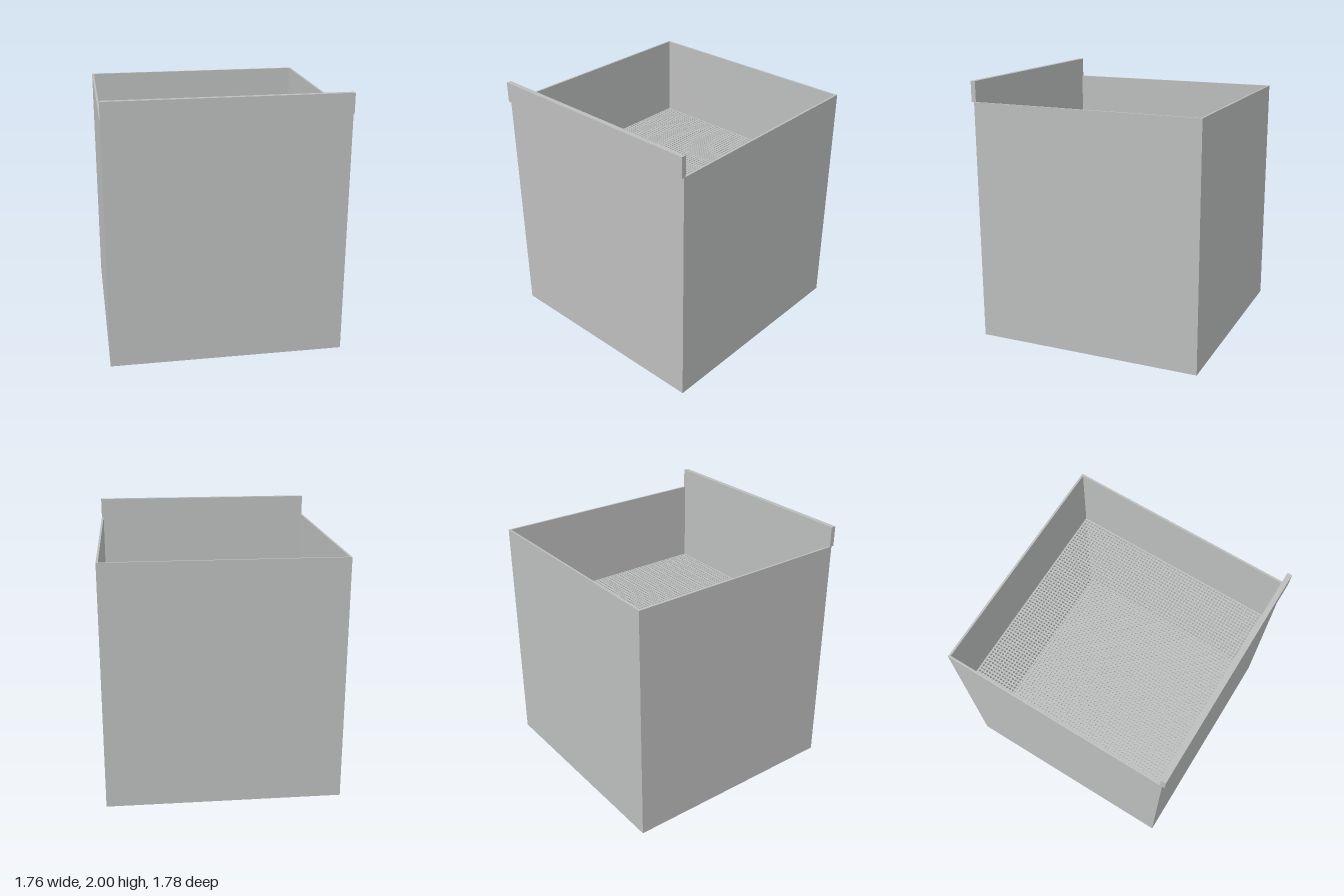
import * as THREE from 'three';
import { mergeGeometries } from 'three/addons/utils/BufferGeometryUtils.js';

const HALF = 0.88;      // outer half width of the square bin
const WALL = 0.015;
const TOP = 1.845;      // rim height
const PLATE_Y = 1.2;    // top of the perforated plate
const ZC = -0.01;       // bin centre in z, the rail overhangs the front

const steel = new THREE.MeshStandardMaterial({ color: 0xbcbebd, side: THREE.DoubleSide });
steel.name = 'greySteel';

function square(Type, h) {
  return new Type([
    new THREE.Vector2(-h, -h), new THREE.Vector2(h, -h),
    new THREE.Vector2(h, h), new THREE.Vector2(-h, h),
  ]);
}

function addMesh(group, name, geometry, x = 0, y = 0, z = 0) {
  const mesh = new THREE.Mesh(geometry, steel);
  mesh.name = name;
  mesh.position.set(x, y, z);
  group.add(mesh);
}

// Sheet of square cells, each with a round hole and a short hole wall
function perforatedSheet(count, pitch, radius, depth) {
  const shape = square(THREE.Shape, pitch / 2);
  const hole = [];
  for (let i = 0; i < 8; i++) {
    const a = -i * Math.PI / 4;
    hole.push(new THREE.Vector2(radius * Math.sin(a), radius * Math.cos(a)));
  }
  shape.holes.push(new THREE.Path(hole));
  const face = new THREE.ShapeGeometry(shape).rotateX(-Math.PI / 2);
  const bore = new THREE.CylinderGeometry(radius, radius, depth, 8, 1, true).translate(0, -depth / 2, 0);
  const cell = mergeGeometries([face, bore]);

  // Repeat one cell into a row, then the row into a sheet
  const repeat = (geo, dx, dz) => mergeGeometries(Array.from({ length: count }, (_, i) => {
    const k = (i - (count - 1) / 2) * pitch;
    return geo.clone().translate(k * dx, 0, k * dz);
  }));
  return repeat(repeat(cell, 1, 0), 0, 1);
}

export function createModel() {
  const model = new THREE.Group();
  model.name = 'perforatedBin';

  // Four walls as one square tube, standing on the floor
  const ring = square(THREE.Shape, HALF);
  ring.holes.push(square(THREE.Path, HALF - WALL));
  const walls = new THREE.ExtrudeGeometry(ring, { depth: TOP - 0.008, bevelEnabled: false });
  addMesh(model, 'walls', walls.rotateX(-Math.PI / 2), 0, 0.008, ZC);

  addMesh(model, 'floor', new THREE.BoxGeometry(HALF * 2, 0.008, HALF * 2), 0, 0.004, ZC);

  // Inner plate: perforated field and its plain border
  const count = 66, pitch = 0.026;
  addMesh(model, 'perforatedPlate', perforatedSheet(count, pitch, 0.009, 0.015), 0, PLATE_Y, ZC);
  const border = square(THREE.Shape, HALF - WALL);
  border.holes.push(square(THREE.Path, count * pitch / 2));
  addMesh(model, 'plateBorder', new THREE.ShapeGeometry(border).rotateX(-Math.PI / 2), 0, PLATE_Y, ZC);

  // Rail along the front rim
  addMesh(model, 'frontRail', new THREE.BoxGeometry(HALF * 2, 2 - TOP, 0.037), 0, (2 + TOP) / 2, 0.8725);

  return model;
}
